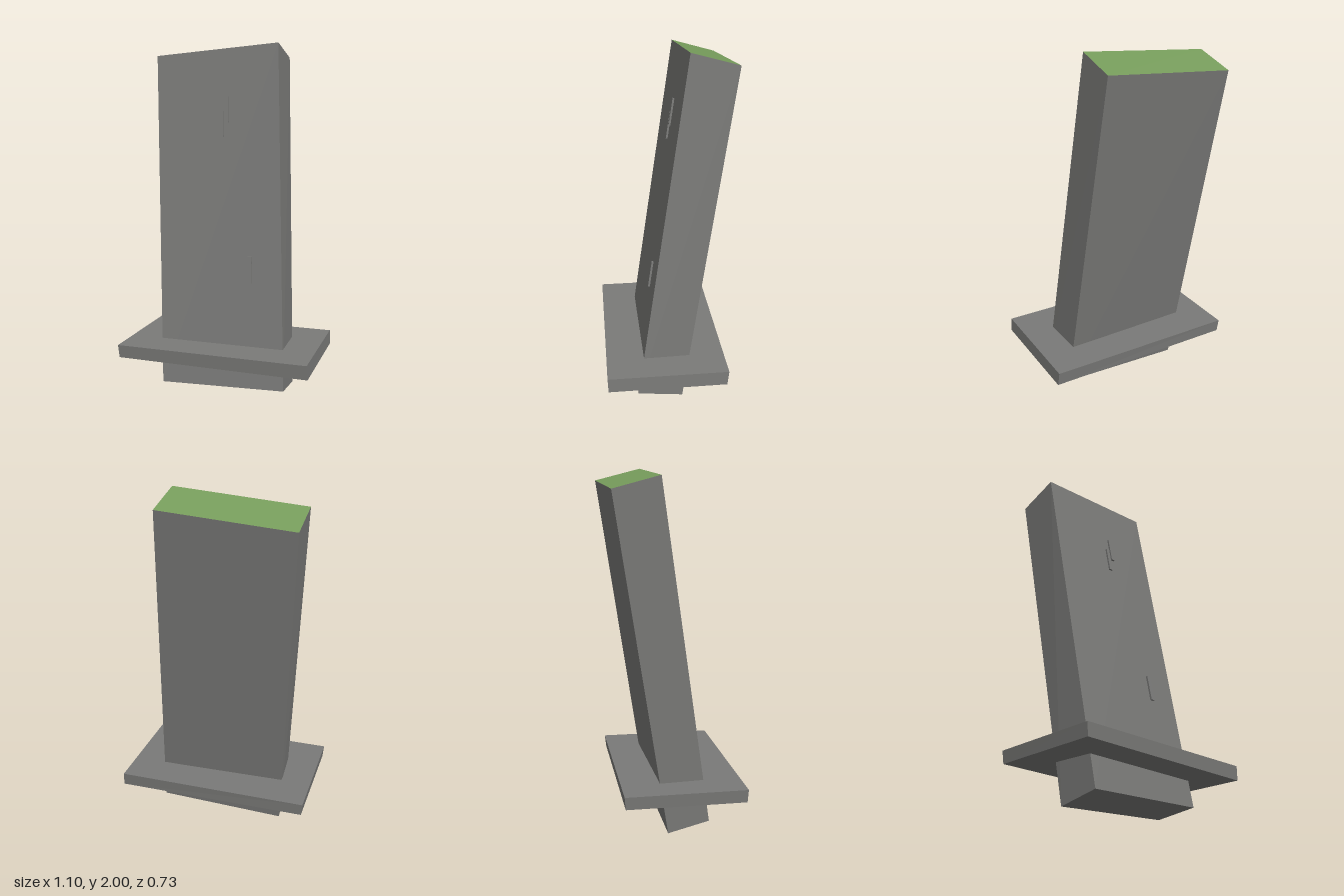
import * as THREE from 'three';

const stone = new THREE.MeshStandardMaterial({ color: 0x7a7a78 });
stone.name = 'grey stone';
const moss = new THREE.MeshStandardMaterial({ color: 0x769c5b });
moss.name = 'moss green';

// Six-sided block from two rings of corners, each ordered
// front left-hand, front right-hand, back right-hand, back left-hand as seen from the front.
// The top face is its own group so it can take a second colour.
function block(name, bottom, top, topMaterial = stone) {
  const c = [...bottom, ...top];
  const quads = [
    [0, 1, 5, 4], [1, 2, 6, 5], [2, 3, 7, 6], [3, 0, 4, 7], // sides
    [3, 2, 1, 0], // underside
    [4, 5, 6, 7], // top
  ];
  const points = quads.flatMap(([a, b, d, e]) => [a, b, d, a, d, e].flatMap((i) => c[i]));
  const geometry = new THREE.BufferGeometry();
  geometry.setAttribute('position', new THREE.Float32BufferAttribute(points, 3));
  geometry.computeVertexNormals();
  geometry.addGroup(0, 30, 0);
  geometry.addGroup(30, 6, 1);
  const mesh = new THREE.Mesh(geometry, [stone, topMaterial]);
  mesh.name = name;
  return mesh;
}

// Depth of the leaning slab's front face at a given height
const faceZ = (y) => 0.197 - 0.153 * y;

// Thin raised chip lying on the slab's front face
function chip(name, x, top) {
  const width = 0.022, length = 0.147, proud = 0.011, sunk = 0.006;
  const ring = (left, y) => [
    [left, y, faceZ(y) + proud], [left + width, y + 0.001, faceZ(y) + proud],
    [left + width, y - 0.001, faceZ(y) - sunk], [left, y - 0.002, faceZ(y) - sunk],
  ];
  return block(name, ring(x + 0.01, top - length), ring(x, top));
}

export function createModel() {
  const model = new THREE.Group();
  model.name = 'leaningStone';

  // Tall leaning slab with a green top
  model.add(block('slab',
    [[-0.345, 0.05, 0.19], [0.375, 0.07, 0.185], [0.37, 0.04, -0.07], [-0.36, 0, -0.045]],
    [[-0.478, 1.94, -0.1], [0.255, 2, -0.108], [0.26, 1.932, -0.367], [-0.475, 1.872, -0.35]],
    moss));

  // Flat, slightly tilted base plate around the foot
  model.add(block('basePlate',
    [[-0.543, 0.229, 0.354], [0.548, 0.217, 0.361], [0.548, 0.22, -0.298], [-0.543, 0.232, -0.302]],
    [[-0.55, 0.301, 0.358], [0.543, 0.296, 0.365], [0.543, 0.298, -0.308], [-0.55, 0.303, -0.308]]));

  // Small chips on the front
  [[-0.048, 1.7], [-0.074, 1.617], [0.135, 0.802]].forEach(([x, top], i) =>
    model.add(chip(`chip${i + 1}`, x, top)));

  return model;
}
